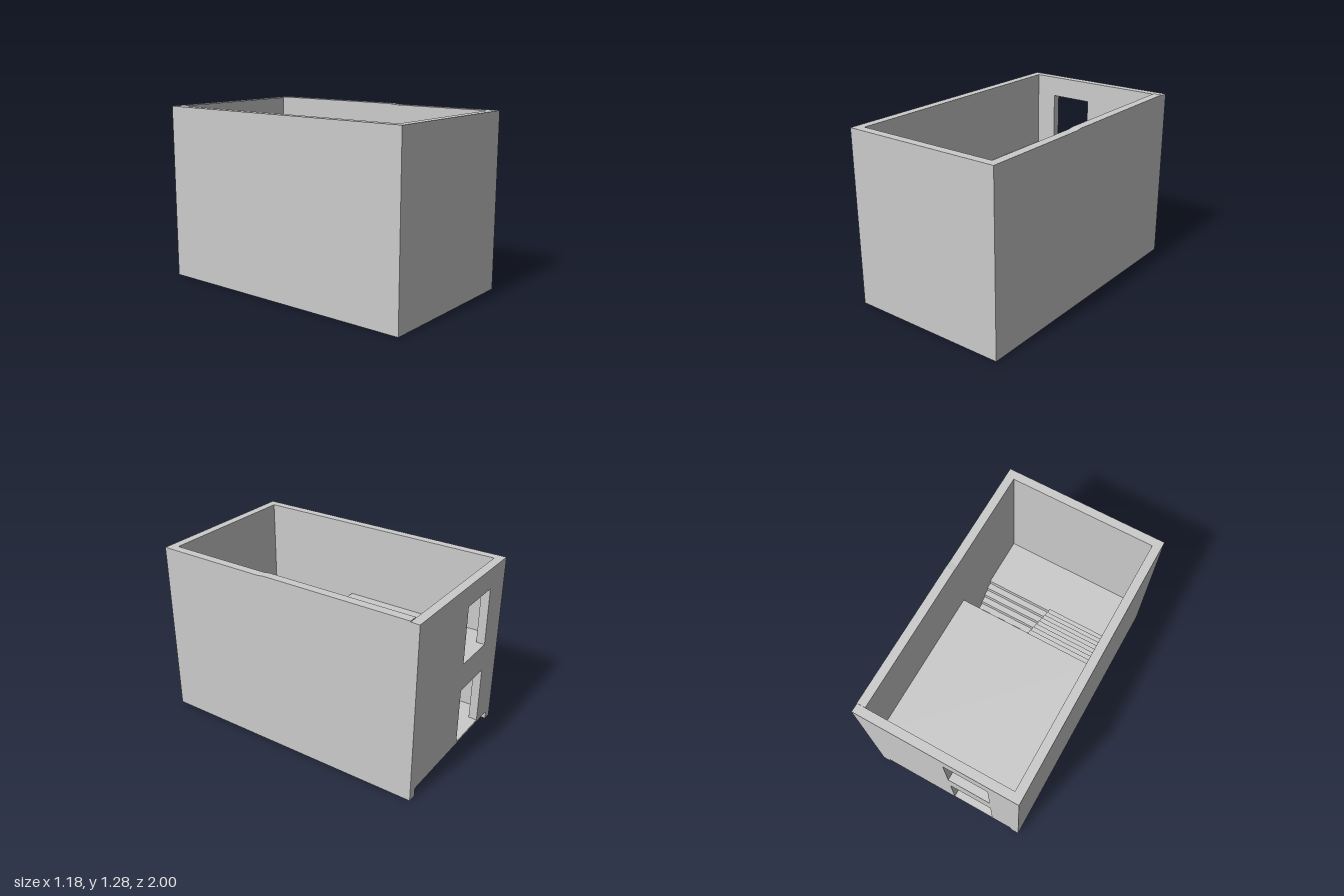
import * as THREE from 'three';

const H = 1.27;    // wall height
const W = 0.59;    // half width
const T = 0.062;   // wall thickness
const IN = W - T;  // inner half width
const ZI = 0.938;  // inner half depth
const GROUND = 0.075, UPPER = 0.7;

export function createModel() {
  const group = new THREE.Group();
  const material = new THREE.MeshStandardMaterial({ color: 0xcccccc, flatShading: true });

  const add = (name, geometry) => {
    const mesh = new THREE.Mesh(geometry, material);
    mesh.name = name;
    group.add(mesh);
    return mesh;
  };
  // box given by its minimum and maximum corners
  const box = (name, x0, x1, y0, y1, z0, z1) =>
    add(name, new THREE.BoxGeometry(x1 - x0, y1 - y0, z1 - z0)
      .translate((x0 + x1) / 2, (y0 + y1) / 2, (z0 + z1) / 2));
  // profile of [z, y] points extruded along x
  const extrudeX = (name, points, x0, x1) => {
    const shape = new THREE.Shape(points.map(([z, y]) => new THREE.Vector2(-z, y)));
    const geometry = new THREE.ExtrudeGeometry(shape, { depth: x1 - x0, bevelEnabled: false });
    return add(name, geometry.rotateY(Math.PI / 2).translate(x0, 0, 0));
  };

  // front and side walls; the left one has a slightly raised top
  box('frontWall', -W, W, 0, H, ZI, 1);
  box('rightWall', -W, -IN, 0, H, -ZI, ZI);
  extrudeX('leftWall', [
    [ZI, 0], [ZI, H], [0.18, H], [0.13, H + 0.006], [-ZI, H + 0.006], [-ZI, 0],
  ], IN, W);

  // back wall with legs at the corners and one opening per storey
  const back = new THREE.Shape([
    [-W, 0], [-IN, 0], [-IN, 0.06], [IN, 0.06], [IN, 0], [W, 0], [W, H], [-W, H],
  ].map(([x, y]) => new THREE.Vector2(x, y)));
  for (const y of [GROUND, UPPER]) {
    back.holes.push(new THREE.Path([
      [-0.37, y], [-0.37, y + 0.42], [-0.05, y + 0.42], [-0.05, y],
    ].map(([px, py]) => new THREE.Vector2(px, py))));
  }
  add('backWall', new THREE.ExtrudeGeometry(back, { depth: 1 - ZI, bevelEnabled: false })
    .translate(0, 0, -1));

  // floors: the upper one stops at the stairwell
  box('groundFloor', -IN, IN, 0.06, GROUND, -ZI, ZI);
  box('upperFloor', -IN, IN, UPPER - 0.06, UPPER, -ZI, 0.19);

  // two flights meeting at a landing
  const rise = (UPPER - GROUND) / 16, run = 0.046;
  const landing = GROUND + 7 * rise;
  box('stairLanding', -IN, IN, landing - 0.05, landing, 0.557, ZI);

  const flight = (name, x0, x1, zStart, yStart, dir, risers) => {
    const points = [[zStart, yStart]];
    for (let i = 0; i < risers; i++) {
      const z = zStart + dir * run * i;
      points.push([z, yStart + rise * (i + 1)]);
      if (i < risers - 1) points.push([z + dir * run, yStart + rise * (i + 1)]);
    }
    // sloped underside
    const zEnd = zStart + dir * run * (risers - 1);
    points.push([zEnd, yStart + rise * risers - 0.06]);
    points.push([zStart + dir * 0.02, yStart - (dir < 0 ? 0.04 : 0)]);
    return extrudeX(name, points, x0, x1);
  };
  flight('lowerFlight', 0, IN, 0.281, GROUND, 1, 7);
  flight('upperFlight', -IN, 0, 0.558, landing, -1, 9);

  return group;
}
